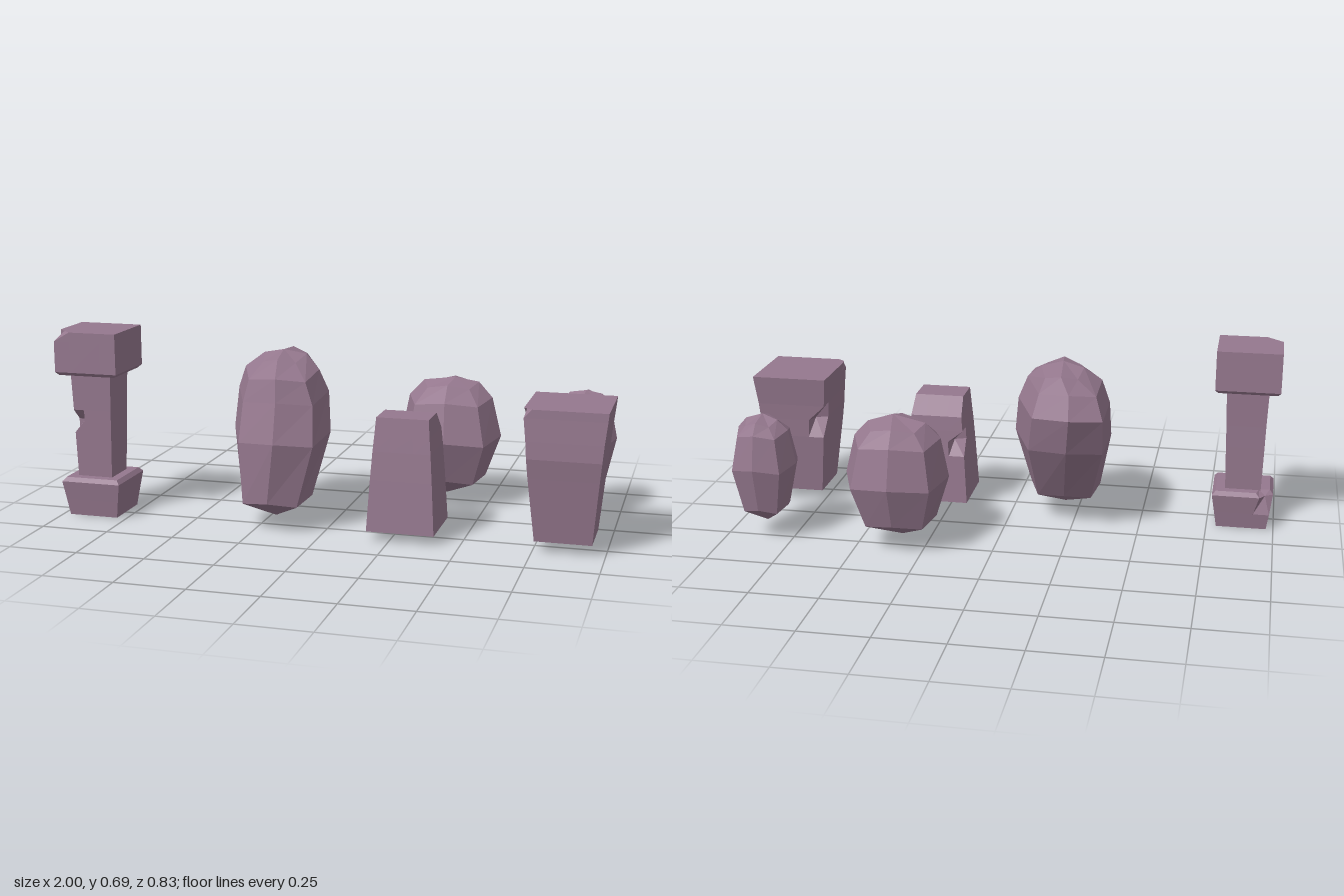
import * as THREE from 'three';

const stone = new THREE.MeshStandardMaterial({ color: 0x95788e, flatShading: true });
stone.name = 'mauve stone';

// Skin a stack of equal-length rings (anticlockwise from above), closed by a point at each end.
function loft(name, rings, bottom, top) {
  const pos = [];
  const tri = (a, b, c) => pos.push(...a, ...b, ...c);
  const n = rings[0].length;
  const middle = (ring) => [0, 1, 2].map((k) => ring.reduce((s, p) => s + p[k], 0) / n);
  const low = bottom || middle(rings[0]);
  const high = top || middle(rings[rings.length - 1]);
  for (let j = 0; j < n; j++) {
    const k = (j + 1) % n;
    tri(low, rings[0][k], rings[0][j]);
    for (let i = 0; i + 1 < rings.length; i++) {
      const a = rings[i], b = rings[i + 1];
      tri(a[j], a[k], b[k]);
      tri(a[j], b[k], b[j]);
    }
    const last = rings[rings.length - 1];
    tri(high, last[j], last[k]);
  }
  const geo = new THREE.BufferGeometry();
  geo.setAttribute('position', new THREE.Float32BufferAttribute(pos, 3));
  geo.computeVertexNormals();
  const mesh = new THREE.Mesh(geo, stone);
  mesh.name = name;
  return mesh;
}

// Rectangular ring with three points per corner; cuts[i] pushes that corner inward as a chip.
// Corner order: front +x, back +x, back -x, front -x.
function rect(y, x0, x1, z0, z1, cuts = [0, 0, 0, 0], e = 0.06) {
  const c = [[x1, z1], [x1, z0], [x0, z0], [x0, z1]];
  const out = [];
  c.forEach(([x, z], i) => {
    const p = c[(i + 3) % 4], q = c[(i + 1) % 4];
    const dp = [Math.sign(p[0] - x) * e, Math.sign(p[1] - z) * e];
    const dq = [Math.sign(q[0] - x) * e, Math.sign(q[1] - z) * e];
    out.push([x + dp[0], y, z + dp[1]]);
    out.push([x + cuts[i] * (dp[0] + dq[0]), y, z + cuts[i] * (dp[1] + dq[1])]);
    out.push([x + dq[0], y, z + dq[1]]);
  });
  return out;
}
const square = (y, cx, cz, h, cuts, e) => rect(y, cx - h, cx + h, cz - h, cz + h, cuts, e);

// Eight-sided boulder ring, fuller on the diagonals, optionally sheared in x along z.
function oval(y, cx, cz, rx, rz, shear = 0, twist = 0) {
  return Array.from({ length: 8 }, (_, i) => {
    const t = (i * Math.PI) / 4 + twist;
    const f = i % 2 ? 1.06 : 1;
    const dz = -Math.sin(t) * rz * f;
    return [cx + Math.cos(t) * rx * f + shear * dz, y + (i % 2 ? -0.008 : 0.008), cz + dz];
  });
}

function pillar() {
  const g = new THREE.Group();
  g.name = 'chippedPillar';
  const x = -0.88, z = 0.235;
  g.add(loft('pillarBase', [
    square(0, x, z, 0.093),
    square(0.06, x, z, 0.102),
    square(0.13, x, z, 0.113, [0, 0, 0.6, 0], 0.05),
    square(0.145, x, z, 0.1, [0, 0, 0.8, 0], 0.05),
  ]));
  g.add(loft('pillarShaft', [
    square(0.14, x, z, 0.066, undefined, 0.04),
    square(0.31, x, z, 0.071, undefined, 0.04),
    square(0.355, x, z, 0.072, [0, 0, 0, 0.75], 0.04),
    square(0.395, x, z, 0.073, undefined, 0.04),
    square(0.54, x, z, 0.078, undefined, 0.04),
  ]));
  g.add(loft('pillarCap', [
    square(0.53, x, z, 0.108),
    square(0.542, x, z, 0.119),
    square(0.655, x, z, 0.119),
    square(0.69, x, z, 0.119, [0, 0, 0, 0.5]),
  ]));
  return g;
}

// Block narrowing upward, with a slanted back edge on top
function taperedStone() {
  const x = 0.292, z = 0.235;
  const crown = rect(0.44, x - 0.093, x + 0.093, 0.2, 0.327, undefined, 0.05);
  return loft('taperedStone', [
    square(0.035, x, z, 0.121),
    square(0.22, x, z, 0.11),
    square(0.275, x, z, 0.106, [0, 0, 0.7, 0]),
    square(0.32, x, z, 0.103),
    square(0.375, x, z, 0.098),
    crown,
  ]);
}

// Block widening upward, chipped at the back corner and top front corner
function flaredStone() {
  return loft('flaredStone', [
    rect(0.04, 0.757, 0.955, 0.132, 0.33),
    rect(0.27, 0.735, 0.976, 0.105, 0.37),
    rect(0.34, 0.73, 0.983, 0.1, 0.383, [0, 0, 0.75, 0]),
    rect(0.4, 0.726, 0.988, 0.095, 0.382),
    rect(0.48, 0.718, 0.997, 0.084, 0.38),
    rect(0.51, 0.715, 1, 0.08, 0.38, [0, 0, 0, 0.4], 0.03),
  ]);
}

export function createModel() {
  const model = new THREE.Group();
  model.name = 'stoneSet';
  model.add(pillar(), taperedStone(), flaredStone());

  // Large leaning boulder
  model.add(loft('largeBoulder', [
    oval(0.105, -0.2, 0.22, 0.135, 0.165, 0.1),
    oval(0.33, -0.197, 0.155, 0.183, 0.26, 0.18),
    oval(0.47, -0.205, 0.11, 0.172, 0.265, 0.2),
    oval(0.55, -0.205, 0.125, 0.14, 0.225, 0.2),
    oval(0.6, -0.2, 0.1, 0.08, 0.14, 0.1),
  ], [-0.2, 0.03, 0.23], [-0.2, 0.625, 0.12]));

  // Medium round boulder
  model.add(loft('mediumBoulder', [
    oval(0.105, 0.35, -0.225, 0.138, 0.14, 0, 0.04),
    oval(0.26, 0.354, -0.225, 0.19, 0.19, 0, 0.04),
    oval(0.405, 0.35, -0.228, 0.158, 0.155, 0, 0.04),
    oval(0.462, 0.35, -0.235, 0.105, 0.1, 0, 0.04),
  ], [0.34, 0.035, -0.225], [0.37, 0.49, -0.21]));

  // Small upright boulder
  model.add(loft('smallBoulder', [
    oval(0.115, 0.855, -0.23, 0.085, 0.09, 0, -0.05),
    oval(0.28, 0.855, -0.23, 0.122, 0.125, 0, -0.05),
    oval(0.405, 0.855, -0.23, 0.096, 0.1, 0, -0.05),
    oval(0.443, 0.857, -0.235, 0.06, 0.062, 0, -0.05),
  ], [0.855, 0.055, -0.23], [0.86, 0.465, -0.215]));

  return model;
}
